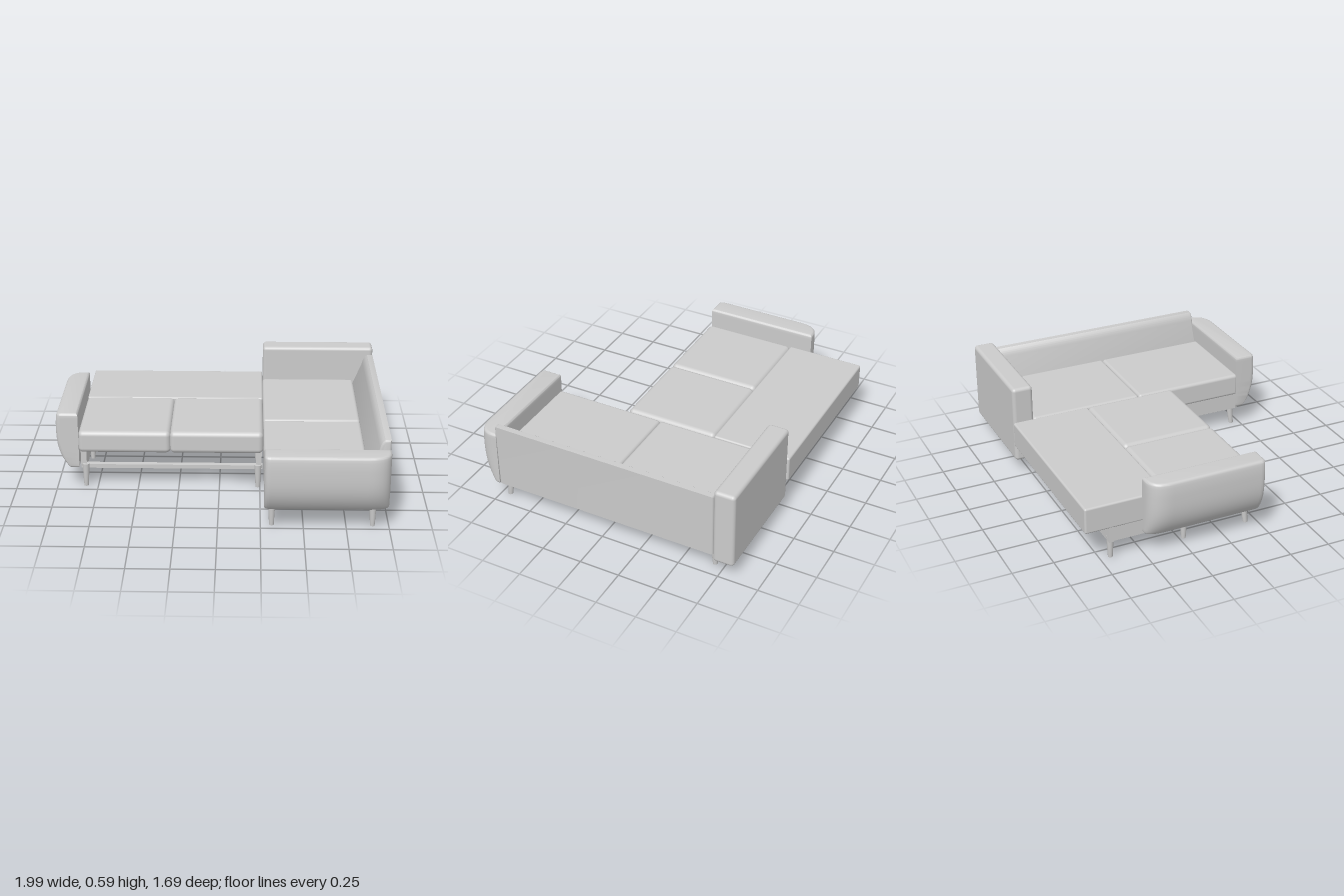
import * as THREE from 'three';
import { RoundedBoxGeometry } from 'three/addons/geometries/RoundedBoxGeometry.js';
import { toCreasedNormals } from 'three/addons/utils/BufferGeometryUtils.js';

const material = new THREE.MeshStandardMaterial({ color: 0xcccccc });

export function createModel() {
  const model = new THREE.Group();

  const add = (name, geometry) => {
    const mesh = new THREE.Mesh(geometry, material);
    mesh.name = name;
    model.add(mesh);
    return mesh;
  };

  // Box given by its limits on each axis, rounded when r > 0
  const block = (name, [x0, x1], [y0, y1], [z0, z1], r = 0) => {
    const size = [x1 - x0, y1 - y0, z1 - z0];
    const geometry = r ? new RoundedBoxGeometry(...size, 4, r) : new THREE.BoxGeometry(...size);
    add(name, geometry).position.set((x0 + x1) / 2, (y0 + y1) / 2, (z0 + z1) / 2);
  };

  // Bulging armrest: footprint with rounded outer corners, drawn in at the foot
  const armrest = (name, length, r0, r1, angle, x, z) => {
    const b = 0.016, height = 0.36, depth = 0.138;
    const a = b, e = length - b, t = depth - b;
    const s = new THREE.Shape();
    s.moveTo(a, b);
    s.lineTo(e, b);
    s.lineTo(e, t - r1 * 0.75);
    s.quadraticCurveTo(e, t, e - r1, t);
    s.lineTo(a + r0, t);
    s.quadraticCurveTo(a, t, a, t - r0 * 0.75);
    s.closePath();
    let geometry = new THREE.ExtrudeGeometry(s, {
      depth: height - 2 * b, steps: 20, curveSegments: 8,
      bevelEnabled: true, bevelSize: b, bevelThickness: b, bevelSegments: 4,
    });
    const p = geometry.attributes.position;
    for (let i = 0; i < p.count; i++) {
      const k = (p.getZ(i) + b) / height;
      const f = k < 0.75 ? 1 - 0.58 * (1 - k / 0.75) ** 3 : 1 - 0.06 * ((k - 0.75) / 0.25) ** 2;
      p.setXYZ(i, p.getX(i), p.getY(i) * f, p.getZ(i) + b);
    }
    geometry.rotateX(-Math.PI / 2);
    geometry = toCreasedNormals(geometry, 0.6);
    const mesh = add(name, geometry);
    mesh.rotation.y = angle;
    mesh.position.set(x, 0.13, z);
  };

  // Tapered leg, its foot shifted by dz
  const leg = (name, x, z, dz = 0) => {
    const top = 0.14;
    const geometry = new THREE.CylinderGeometry(0.022, 0.014, top, 16);
    const p = geometry.attributes.position;
    for (let i = 0; i < p.count; i++) {
      p.setZ(i, p.getZ(i) + dz * (0.5 - p.getY(i) / top));
    }
    add(name, geometry).position.set(x, top / 2, z);
  };

  // Long side: two seats on thin side boards
  block('longSideSeatBack', [0.268, 0.87], [0.225, 0.37], [-0.715, 0.003], 0.02);
  block('longSideSeatFront', [0.268, 0.87], [0.225, 0.37], [0.003, 0.715], 0.02);
  block('longSideInnerBoard', [0.275, 0.295], [0.125, 0.25], [-0.715, 0.715]);
  block('longSideBackBoard', [0.86, 0.9], [0.14, 0.3], [-0.71, 0.71]);

  // Leaning backrest
  const profile = new THREE.Shape();
  profile.moveTo(0.885, 0.145);
  profile.lineTo(0.972, 0.145);
  profile.lineTo(0.979, 0.533);
  profile.lineTo(0.962, 0.533);
  profile.quadraticCurveTo(0.945, 0.52, 0.938, 0.48);
  profile.lineTo(0.885, 0.35);
  profile.closePath();
  const back = new THREE.ExtrudeGeometry(profile, {
    depth: 1.4, bevelEnabled: true, bevelSize: 0.014, bevelThickness: 0.012, bevelSegments: 3,
  });
  back.translate(0, 0, -0.7);
  add('longSideBackrest', toCreasedNormals(back, 0.6));

  // End panel and armrests
  block('tallEndPanel', [0.27, 0.995], [0.095, 0.59], [-0.843, -0.712], 0.022);
  armrest('frontArmrest', 0.725, 0.12, 0.02, Math.PI, 0.995, 0.705);
  armrest('sideArmrest', 0.72, 0.02, 0.12, Math.PI / 2, -0.86, 0.22);

  // Bed side: two seats and the flat panel behind them
  block('bedSeatRight', [-0.862, -0.298], [0.235, 0.375], [-0.36, 0.23], 0.03);
  block('bedSeatLeft', [-0.302, 0.268], [0.235, 0.375], [-0.36, 0.23], 0.03);
  block('bedBackPanel', [-0.862, 0.268], [0.208, 0.37], [-0.85, -0.357], 0.012);

  // Bed frame
  block('frontRail', [-0.85, 0.265], [0.11, 0.135], [0.135, 0.17]);
  block('middleRail', [-0.83, 0.245], [0.125, 0.21], [-0.235, -0.21]);
  block('rearRail', [-0.86, 0.265], [0.115, 0.22], [-0.705, -0.675]);
  for (const x of [-0.84, 0.24]) {
    block('sideBoard', [x - 0.015, x + 0.02], [0.11, 0.26], [-0.24, 0.17]);
    block('slideRail', [x - 0.012, x + 0.018], [0.115, 0.22], [-0.7, -0.22]);
  }

  // Legs
  for (const x of [-0.825, 0.237]) {
    leg('bedFrontLeg', x, 0.168, 0.018);
    leg('bedMiddleLeg', x, -0.222);
    leg('bedRearLeg', x, -0.685);
  }
  for (const x of [0.315, 0.905]) {
    leg('longSideFrontLeg', x, 0.682, 0.016);
    leg('longSideRearLeg', x, -0.68, -0.01);
  }
  return model;
}
